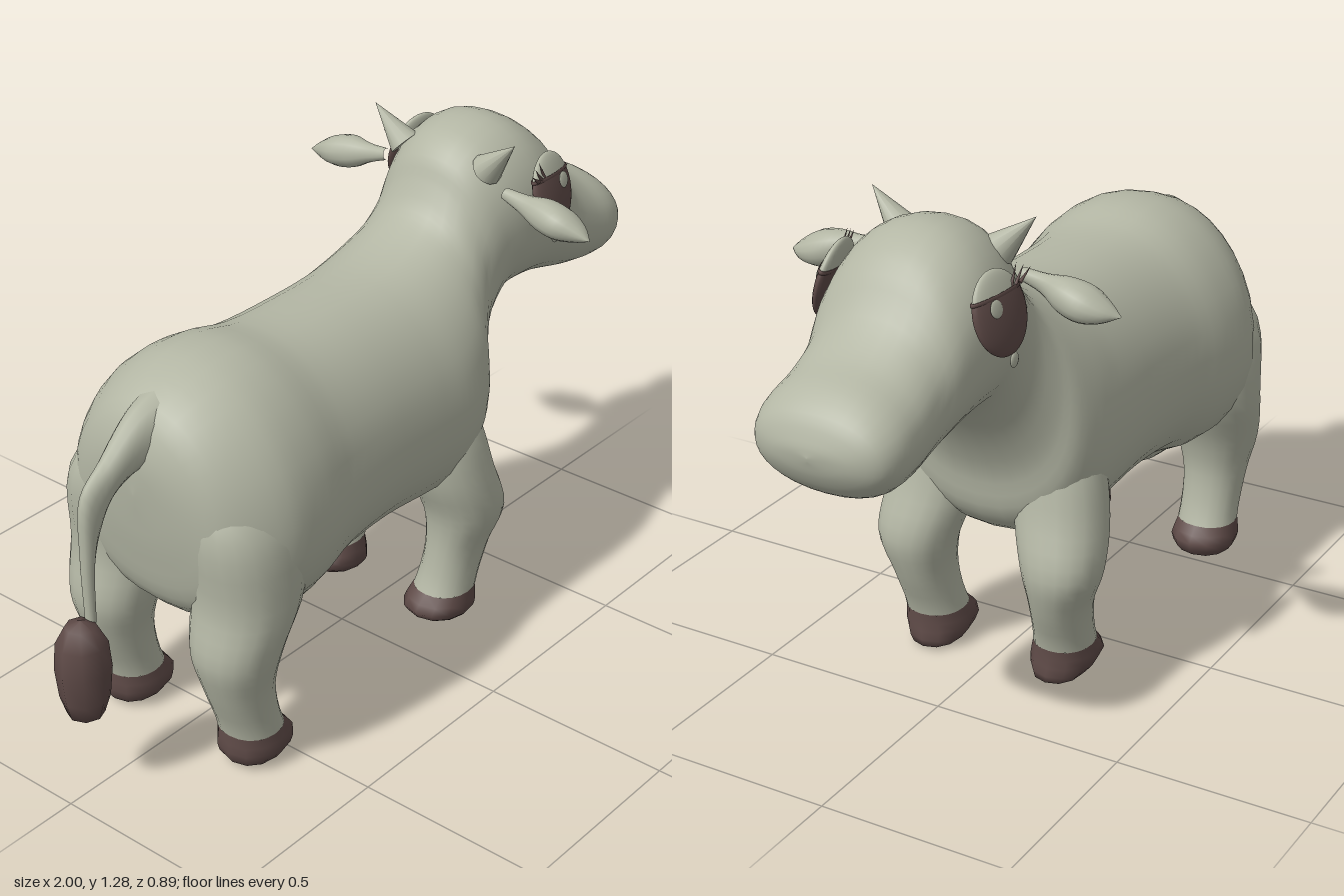
import * as THREE from 'three';

const hide = new THREE.MeshStandardMaterial({ color: 0xb3b6a4 });
hide.name = 'hide';
const brown = new THREE.MeshStandardMaterial({ color: 0x5e4a47 });
brown.name = 'darkBrown';

// Smooth skin through rings [ax, ay, bx, by, halfWidth, z]; a and b are opposite edge points.
// pear narrows the a side and widens the b side, fading out towards the last ring.
function loft(rings, { t0 = 0, t1 = 1, steps = 4, sides = 24, power = 0.92, pear = 0 } = {}) {
  const edgeA = new THREE.CatmullRomCurve3(rings.map(r => new THREE.Vector3(r[0], r[1], r[4])));
  const edgeB = new THREE.CatmullRomCurve3(rings.map(r => new THREE.Vector3(r[2], r[3], r[5] || 0)));
  const n = Math.max(1, Math.round((rings.length - 1) * steps * (t1 - t0)));
  const pos = [], index = [];
  const soft = v => Math.sign(v) * Math.abs(v) ** power;
  for (let i = 0; i <= n; i++) {
    const t = t0 + (t1 - t0) * i / n;
    const a = edgeA.getPoint(t), b = edgeB.getPoint(t);
    const w = Math.max(a.z, 0);
    for (let j = 0; j < sides; j++) {
      const q = j / sides * Math.PI * 2, c = soft(Math.cos(q)) / 2;
      const wide = w * (1 - pear * (1 - t) * Math.cos(q));
      pos.push((a.x + b.x) / 2 + c * (a.x - b.x), (a.y + b.y) / 2 + c * (a.y - b.y), b.z + soft(Math.sin(q)) * wide);
      if (i < n) {
        const k = (j + 1) % sides, p = i * sides, s = p + sides;
        index.push(p + j, p + k, s + j, p + k, s + k, s + j);
      }
    }
  }
  const g = new THREE.BufferGeometry();
  g.setAttribute('position', new THREE.Float32BufferAttribute(pos, 3));
  g.setIndex(index);
  g.computeVertexNormals();
  return g;
}

function add(parent, name, geometry, material) {
  const m = new THREE.Mesh(geometry, material);
  m.name = name;
  parent.add(m);
  return m;
}

// Cone between two points
function spike(parent, name, from, to, radius, material) {
  const a = new THREE.Vector3(...from), d = new THREE.Vector3(...to).sub(a);
  const m = add(parent, name, new THREE.ConeGeometry(radius, d.length(), 12), material);
  m.position.copy(a).addScaledVector(d, 0.5);
  m.quaternion.setFromUnitVectors(new THREE.Vector3(0, 1, 0), d.normalize());
  return m;
}

const bodyRings = [
  [-0.745, 0.74, -0.74, 0.7, 0], [-0.74, 0.86, -0.72, 0.56, 0.15], [-0.69, 0.955, -0.68, 0.42, 0.25],
  [-0.56, 1.015, -0.56, 0.345, 0.325], [-0.44, 1.022, -0.42, 0.335, 0.325], [-0.3, 0.993, -0.28, 0.37, 0.30],
  [-0.1, 0.99, -0.1, 0.38, 0.288], [0.05, 0.998, 0.08, 0.365, 0.288], [0.14, 1.015, 0.2, 0.365, 0.288],
  [0.22, 1.045, 0.29, 0.44, 0.265], [0.28, 1.085, 0.32, 0.57, 0.225], [0.32, 1.15, 0.39, 0.70, 0.193],
];
const headRings = [
  [0.35, 1.21, 0.48, 0.80, 0.195], [0.42, 1.262, 0.55, 0.81, 0.21], [0.54, 1.278, 0.61, 0.805, 0.215],
  [0.65, 1.22, 0.69, 0.785, 0.205], [0.73, 1.115, 0.76, 0.768, 0.19], [0.82, 1.05, 0.84, 0.758, 0.192],
  [0.91, 1.015, 0.91, 0.762, 0.19], [0.965, 0.975, 0.955, 0.79, 0.165], [0.993, 0.92, 0.985, 0.835, 0.1],
  [1, 0.885, 0.998, 0.875, 0],
];
const frontLegRings = [
  [0.24, 0.72, 0.14, 0.73, 0.05, 0.14], [0.28, 0.6, 0.09, 0.6, 0.105, 0.165], [0.31, 0.47, 0.1, 0.45, 0.12, 0.182],
  [0.35, 0.33, 0.14, 0.33, 0.102, 0.207], [0.325, 0.22, 0.143, 0.22, 0.075, 0.198], [0.28, 0.10, 0.115, 0.10, 0.077, 0.188],
  [0.285, 0.05, 0.075, 0.06, 0.086, 0.185], [0.285, 0.01, 0.12, 0.02, 0.065, 0.18], [0.21, 0, 0.19, 0, 0, 0.18],
];
const hindLegRings = [
  [-0.5, 0.82, -0.66, 0.82, 0.05, 0.15], [-0.44, 0.68, -0.72, 0.68, 0.12, 0.19], [-0.45, 0.5, -0.71, 0.48, 0.13, 0.2],
  [-0.515, 0.35, -0.733, 0.34, 0.11, 0.2], [-0.535, 0.24, -0.705, 0.23, 0.085, 0.2], [-0.505, 0.10, -0.66, 0.10, 0.08, 0.2],
  [-0.47, 0.06, -0.665, 0.05, 0.088, 0.2], [-0.49, 0.02, -0.65, 0.015, 0.07, 0.2], [-0.56, 0.005, -0.58, 0.005, 0, 0.2],
];
const tailRings = [
  [-0.69, 0.81, -0.63, 0.985, 0.07], [-0.75, 0.807, -0.73, 0.95, 0.045], [-0.82, 0.772, -0.83, 0.868, 0.03],
  [-0.86, 0.7, -0.903, 0.805, 0.023], [-0.882, 0.62, -0.915, 0.66, 0.018], [-0.887, 0.47, -0.912, 0.47, 0.014],
];
const earRings = [
  [0, 0.015, 0, -0.015, 0.015], [0.06, 0.022, 0.06, -0.02, 0.025], [0.12, 0.05, 0.12, -0.035, 0.042],
  [0.175, 0.06, 0.175, -0.042, 0.04], [0.225, 0.042, 0.225, -0.022, 0.022], [0.262, 0.005, 0.262, 0, 0],
];

export function createModel() {
  const model = new THREE.Group();
  model.name = 'cow';

  add(model, 'bodyAndHead', loft([...bodyRings, ...headRings], { sides: 32, pear: 0.16 }), hide);

  const udder = add(model, 'udder', new THREE.SphereGeometry(1, 20, 14), hide);
  udder.position.set(-0.42, 0.4, 0);
  udder.scale.set(0.17, 0.093, 0.17);

  // Tail with faceted tuft
  add(model, 'tail', loft(tailRings, { sides: 12 }), hide);
  const tuftProfile = [[0, 0.23], [0.045, 0.232], [0.06, 0.28], [0.068, 0.36], [0.062, 0.43], [0.038, 0.475], [0, 0.49]];
  add(model, 'tailTuft', new THREE.LatheGeometry(tuftProfile.map(p => new THREE.Vector2(...p)), 8), brown)
    .position.x = -0.932;

  for (const s of [1, -1]) {
    const side = s > 0 ? 'front' : 'back';

    // Legs and hooves share one profile, split at the hoof line
    for (const [name, rings] of [['frontLeg', frontLegRings], ['hindLeg', hindLegRings]]) {
      const placed = rings.map(r => [...r.slice(0, 5), r[5] * s]);
      const split = 5 / (rings.length - 1);
      add(model, name, loft(placed, { t1: split, sides: 20 }), hide);
      add(model, name + 'Hoof', loft(placed, { t0: split, sides: 12, steps: 2 }), brown);
    }

    // Horn
    spike(model, 'horn', [0.405, 1.195, 0.13 * s], [0.395, 1.285, 0.22 * s], 0.042, hide);

    // Ear, drooping outwards and rolled slightly forward
    const ear = add(model, 'ear', loft(earRings, { sides: 14 }), hide);
    const out = new THREE.Vector3(0, -0.21, 0.98 * s).normalize();
    const across = new THREE.Vector3(0.97, -0.24 * 0.98, -0.24 * 0.21 * s).normalize();
    ear.quaternion.setFromRotationMatrix(
      new THREE.Matrix4().makeBasis(out, across, new THREE.Vector3().crossVectors(out, across)));
    ear.position.set(0.405, 1.147, 0.188 * s);

    // Eye: flattened dome of dark iris with a heavy lid
    const eye = new THREE.Group();
    eye.name = 'eye_' + side;
    eye.position.set(0.56, 1.112, 0.222 * s);
    eye.rotation.set(-0.27 * s, 0.13 * s, 0);
    model.add(eye);
    const cut = 1.13;
    add(eye, 'iris', new THREE.SphereGeometry(1, 28, 16, 0, Math.PI * 2, cut, Math.PI - cut), brown)
      .scale.set(0.089, 0.1, 0.022);
    add(eye, 'eyelid', new THREE.SphereGeometry(1, 28, 8, 0, Math.PI * 2, 0, cut), hide)
      .scale.set(0.089, 0.1, 0.022);
    const rim = add(eye, 'lidLine', new THREE.TorusGeometry(0.081, 0.005, 6, 28), brown);
    rim.rotation.x = Math.PI / 2;
    rim.scale.y = 0.26;
    rim.position.y = 0.043;
    const glint = add(eye, 'glint', new THREE.SphereGeometry(1, 14, 8), hide);
    glint.scale.set(0.021, 0.021, 0.004);
    glint.position.set(0.03, 0.018, 0.021 * s);

    // Lashes at the rear corner
    for (let i = 0; i < 3; i++)
      spike(eye, 'lash', [-0.075 + i * 0.016, 0.045, 0.012 * s], [-0.115 + i * 0.022, 0.07 + i * 0.012, 0.02 * s], 0.005, brown);

    // Small drop beneath the eye
    const drop = add(model, 'tear', new THREE.SphereGeometry(1, 12, 8), hide);
    drop.scale.set(0.017, 0.019, 0.006);
    drop.position.set(0.545, 1.0, 0.25 * s);
  }
  return model;
}
